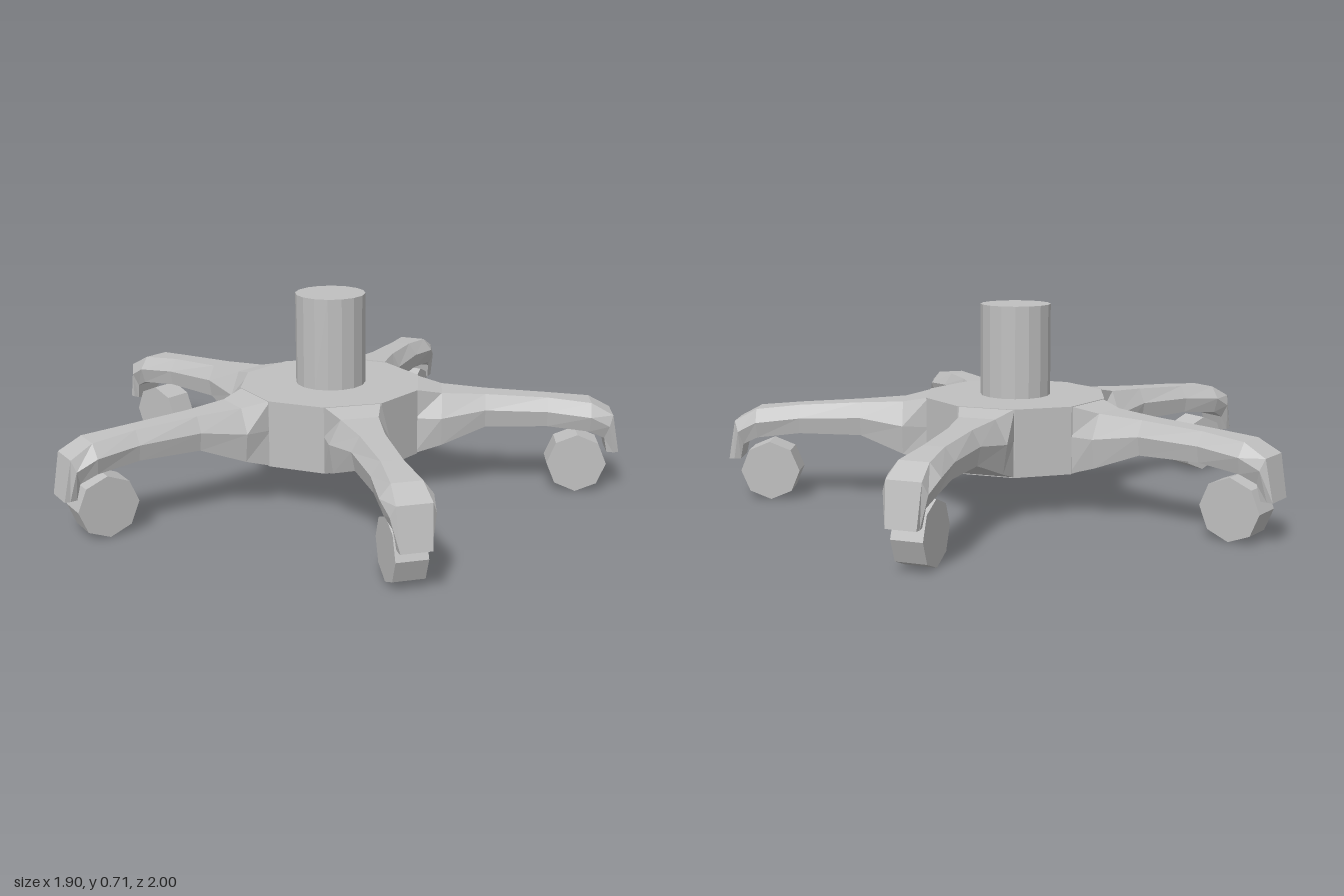
import * as THREE from 'three';

const CENTRE_X = -0.085;
const ARMS = 5;

// Split the faces so that every facet has its own normal
function faceted(geometry) {
  const g = geometry.index ? geometry.toNonIndexed() : geometry;
  g.computeVertexNormals();
  return g;
}

// Arm cross-sections from hub to tip:
// [top radius, top y, bottom radius, bottom y, top, middle and bottom half width]
const SECTIONS = [
  [0.305, 0.385, 0.305, 0.15, 0.1, 0.1, 0.1],
  [0.40, 0.365, 0.40, 0.18, 0.065, 0.106, 0.092],
  [0.555, 0.357, 0.555, 0.24, 0.042, 0.07, 0.058],
  [0.775, 0.346, 0.775, 0.246, 0.036, 0.068, 0.058],
  [0.93, 0.332, 0.925, 0.232, 0.05, 0.085, 0.07],
  [1.008, 0.29, 0.98, 0.205, 0.057, 0.072, 0.056],
  [1.034, 0.15, 0.992, 0.15, 0.05, 0.052, 0.05],
];

// Six-sided loft running along +x, capped at the tip
function armGeometry() {
  const positions = [];
  const index = [];
  for (const [tx, ty, bx, by, tw, mw, bw] of SECTIONS) {
    const mx = tx + (bx - tx) * 0.45;
    const my = ty + (by - ty) * 0.45;
    positions.push(tx, ty, tw, mx, my, mw, bx, by, bw);
    positions.push(bx, by, -bw, mx, my, -mw, tx, ty, -tw);
  }
  const last = SECTIONS.length - 1;
  for (let i = 0; i < last; i++) {
    for (let j = 0; j < 6; j++) {
      const a = i * 6 + j;
      const b = i * 6 + (j + 1) % 6;
      index.push(a, b, a + 6, b, b + 6, a + 6);
    }
  }
  for (let j = 1; j < 5; j++) index.push(last * 6, last * 6 + j, last * 6 + j + 1);
  const g = new THREE.BufferGeometry();
  g.setAttribute('position', new THREE.Float32BufferAttribute(positions, 3));
  g.setIndex(index);
  return faceted(g);
}

export function createModel() {
  const model = new THREE.Group();
  model.name = 'swivelChairBase';
  const grey = new THREE.MeshStandardMaterial({ color: 0xc0c0c0 });
  grey.name = 'grey';

  const base = new THREE.Group();
  base.name = 'base';
  base.position.x = CENTRE_X;
  model.add(base);

  function add(parent, name, geometry, x, y) {
    const mesh = new THREE.Mesh(geometry, grey);
    mesh.name = name;
    mesh.position.set(x, y, 0);
    parent.add(mesh);
    return mesh;
  }

  // Ten-sided hub and the central post
  add(base, 'hub', faceted(new THREE.CylinderGeometry(0.33, 0.33, 0.235, 10)), 0, 0.2675);
  add(base, 'post', faceted(new THREE.CylinderGeometry(0.125, 0.125, 0.33, 16)), 0, 0.545);

  // Five arms, each with an octagonal caster under its tip
  const arm = armGeometry();
  const wheel = faceted(new THREE.CylinderGeometry(0.106, 0.106, 0.104, 8).rotateX(Math.PI / 2));
  for (let k = 0; k < ARMS; k++) {
    const leg = new THREE.Group();
    leg.name = 'leg' + (k + 1);
    leg.rotation.y = (k * 2 * Math.PI) / ARMS;
    add(leg, 'arm', arm, 0, 0);
    add(leg, 'caster', wheel, 0.886, 0.106);
    base.add(leg);
  }
  return model;
}
